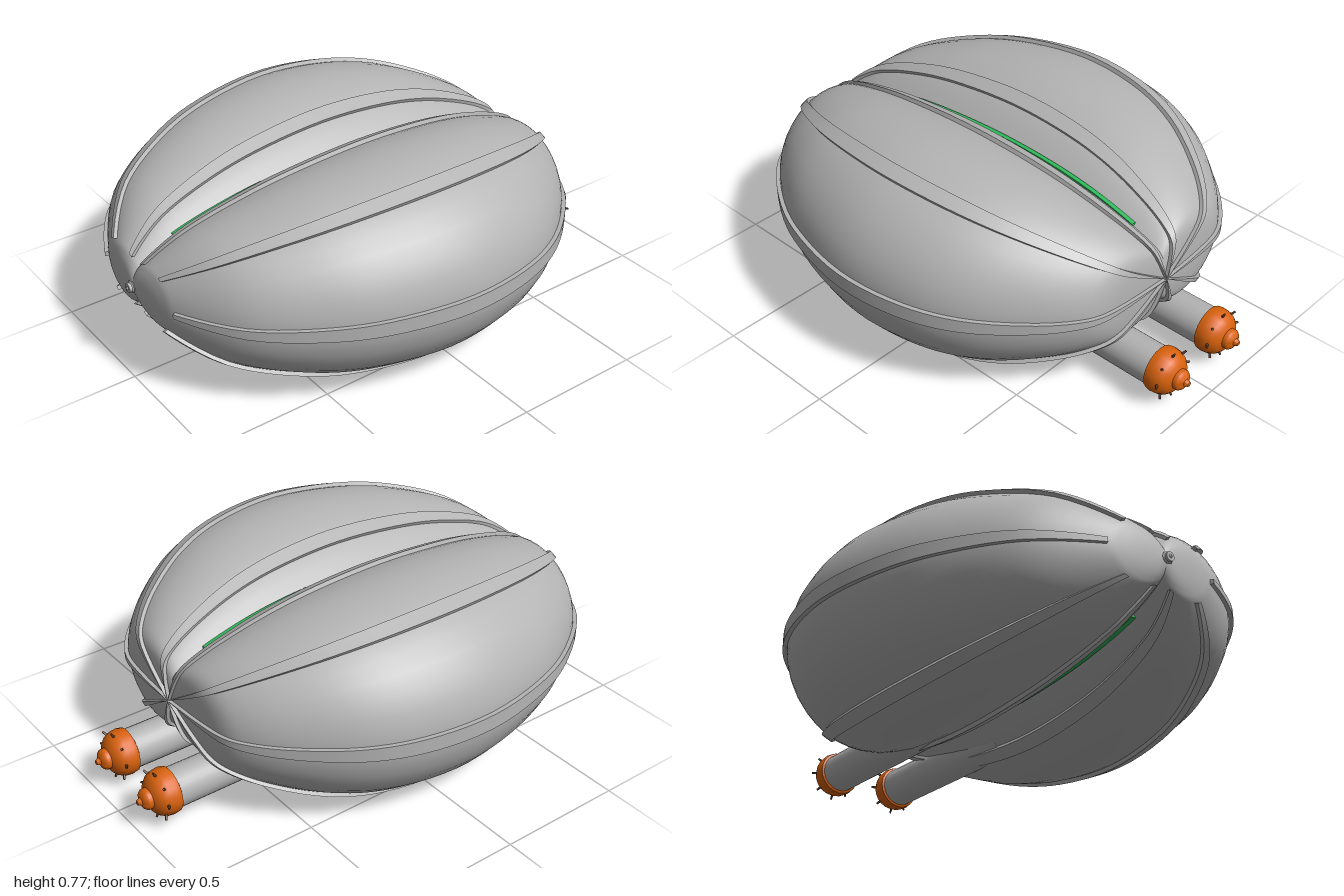
import * as THREE from 'three';
import { toCreasedNormals } from 'three/addons/utils/BufferGeometryUtils.js';

const MID = 0.39; // height of the long axis
const LOBE = { c: 0.35, a: 0.44, b: 0.385 }; // elliptical lobe section in z / y

// Hull profile: position along x and section scale, tail to nose
const hullCurve = new THREE.CatmullRomCurve3([
  [-0.975, 0], [-0.968, 0.13], [-0.956, 0.23], [-0.94, 0.3], [-0.8, 0.6], [-0.6, 0.8], [-0.4, 0.92],
  [-0.08, 1], [0.2, 0.96], [0.4, 0.855], [0.6, 0.65], [0.7, 0.49], [0.73, 0.4], [0.744, 0.25], [0.75, 0],
].map(([x, r]) => new THREE.Vector3(x, r, 0)), false, 'centripetal');

const profile = Array.from({ length: 71 }, (_, i) => {
  const p = hullCurve.getPoint(i / 70), t = hullCurve.getTangent(i / 70);
  return { x: p.x, r: Math.max(p.y, 0.0005), nx: -t.y, nr: t.x };
});

// Skin a list of rings; each ring is a list of [x, y, z]
function loft(rings, closed, caps) {
  const n = rings[0].length, index = [];
  for (let i = 0; i < rings.length - 1; i++) {
    for (let j = 0; j < (closed ? n : n - 1); j++) {
      const k = (j + 1) % n;
      const a = i * n + j, b = i * n + k, c = a + n, d = b + n;
      index.push(a, c, b, b, c, d);
    }
  }
  if (caps) {
    const e = (rings.length - 1) * n;
    for (let j = 1; j < n - 1; j++) index.push(0, j, j + 1, e, e + j + 1, e + j);
  }
  const g = new THREE.BufferGeometry();
  g.setAttribute('position', new THREE.Float32BufferAttribute(rings.flat(2), 3));
  g.setIndex(index);
  g.computeVertexNormals();
  return g;
}

// One lobe, open along the centre plane
function lobeGeometry(side) {
  const end = Math.acos(-LOBE.c / LOBE.a);
  const rings = profile.map(({ x, r }) => {
    const ring = [];
    for (let j = 0; j <= 28; j++) {
      const q = -end + (2 * end * j) / 28;
      ring.push([x, MID + r * LOBE.b * Math.sin(q), side * r * (LOBE.c + LOBE.a * Math.cos(q))]);
    }
    return side > 0 ? ring : ring.reverse();
  });
  return loft(rings, false, false);
}

// Raised batten running along the hull at one angle of the lobe
function ribGeometry(side, degrees) {
  const q = THREE.MathUtils.degToRad(degrees);
  const p = [LOBE.c + LOBE.a * Math.cos(q), LOBE.b * Math.sin(q)];
  const t = new THREE.Vector2(-LOBE.a * Math.sin(q), LOBE.b * Math.cos(q)).normalize();
  const n = [t.y, -t.x];
  const w = 0.03, h = 0.014;
  const section = [[h, -w], [h, w], [-0.02, w], [-0.02, -w]];
  const rings = profile.filter((s) => s.x > -0.945).map(({ x, r, nx, nr }) => {
    const ring = section.map(([o, s]) => [
      x + nx * o,
      MID + r * (p[1] + t.y * s) + nr * o * n[1],
      side * (r * (p[0] + t.x * s) + nr * o * n[0]),
    ]);
    return side > 0 ? ring : ring.reverse();
  });
  return toCreasedNormals(loft(rings, true, true), 0.6);
}

export function createModel() {
  const grey = new THREE.MeshStandardMaterial({ color: 0xb4b4b4 });
  grey.name = 'hull grey';
  const orange = new THREE.MeshStandardMaterial({ color: 0xd9620c });
  orange.name = 'cap orange';
  const green = new THREE.MeshStandardMaterial({ color: 0x2fb85a });
  green.name = 'keel green';
  const dark = new THREE.MeshStandardMaterial({ color: 0x5a3a22 });
  dark.name = 'stud brown';

  const model = new THREE.Group();
  model.name = 'twinLobeCraft';
  const add = (parent, name, geometry, material, x = 0, y = 0, z = 0) => {
    const m = new THREE.Mesh(geometry, material);
    m.name = name;
    m.position.set(x, y, z);
    parent.add(m);
    return m;
  };

  // Hull lobes and their battens
  for (const side of [1, -1]) {
    const s = side > 0 ? 'front' : 'back';
    add(model, s + 'Lobe', lobeGeometry(side), grey);
    for (const deg of [-120, -64, 0, 64, 120]) add(model, s + 'Rib', ribGeometry(side, deg), grey);
  }

  // Thin green plate filling the groove between the lobes
  const keelPoints = profile.filter((s) => s.x > -0.82 && s.x < 0.62);
  const outline = [
    ...keelPoints.map((s) => new THREE.Vector2(s.x, s.r * 0.252)),
    ...keelPoints.map((s) => new THREE.Vector2(s.x, -s.r * 0.252)).reverse(),
  ];
  add(model, 'keelPlate', new THREE.ExtrudeGeometry(new THREE.Shape(outline), { depth: 0.018, bevelEnabled: false }),
    green, 0, MID, -0.009);

  // Small tail fitting
  add(model, 'tailPin', new THREE.CylinderGeometry(0.018, 0.018, 0.05, 12).rotateZ(Math.PI / 2), grey, -0.968, MID, 0);
  add(model, 'tailTip', new THREE.ConeGeometry(0.024, 0.022, 8).rotateZ(Math.PI / 2), grey, -0.989, MID, 0);

  // Two booms under the hull with studded domed caps
  const capProfile = [[0.075, 0.855], [0.086, 0.86], [0.09, 0.88], [0.087, 0.905], [0.077, 0.927], [0.06, 0.943],
    [0.04, 0.951], [0.04, 0.966], [0.032, 0.976], [0.015, 0.983], [0.009, 0.997], [0, 1]]
    .map(([r, x]) => new THREE.Vector2(r, x));
  const capGeometry = toCreasedNormals(new THREE.LatheGeometry(capProfile, 20).rotateZ(-Math.PI / 2), 0.7);
  for (const side of [1, -1]) {
    const boom = new THREE.Group();
    boom.name = side > 0 ? 'frontBoom' : 'backBoom';
    boom.position.set(0, 0.133, side * 0.147);
    model.add(boom);
    add(boom, 'tube', new THREE.CylinderGeometry(0.077, 0.077, 0.76, 28).rotateZ(Math.PI / 2), grey, 0.48);
    add(boom, 'cap', capGeometry, orange);
    for (let i = 0; i < 8; i++) {
      const a = (i * Math.PI) / 4;
      const dir = new THREE.Vector3(0.55, Math.cos(a), Math.sin(a)).normalize();
      const stud = add(boom, 'stud', new THREE.CylinderGeometry(0.004, 0.006, 0.03, 6), dark,
        0.918, 0.084 * Math.cos(a), 0.084 * Math.sin(a));
      stud.quaternion.setFromUnitVectors(new THREE.Vector3(0, 1, 0), dir);
    }
  }
  return model;
}
